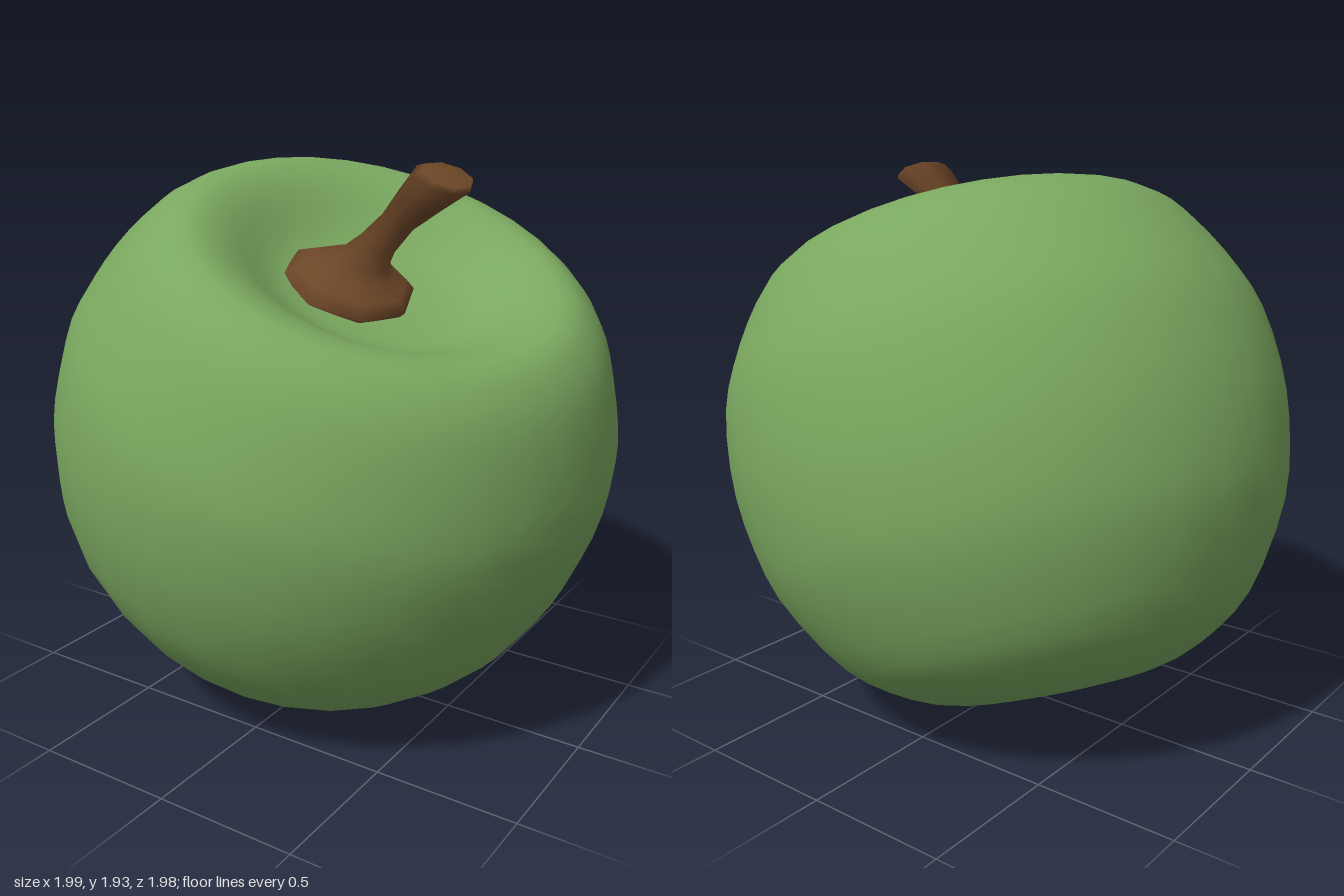
import * as THREE from 'three';

const vec = (list) => list.map(([r, y]) => new THREE.Vector2(r, y));

export function createModel() {
  const model = new THREE.Group();
  model.name = 'apple';

  // Everything is modelled around an upright core axis, then leaned over
  const axis = new THREE.Vector3(0.377, 0.91, 0.173).normalize();
  const leaning = new THREE.Group();
  leaning.name = 'leaningFruit';
  leaning.position.y = 0.965;
  leaning.quaternion.setFromUnitVectors(new THREE.Vector3(0, 1, 0), axis);
  model.add(leaning);

  // Fruit: flat-bottomed profile with a dimple on top
  const profile = new THREE.SplineCurve(vec([
    [0, -0.88], [0.22, -0.885], [0.42, -0.86], [0.6, -0.775], [0.74, -0.655],
    [0.89, -0.42], [0.955, -0.22], [0.985, 0], [0.97, 0.24], [0.915, 0.41],
    [0.825, 0.585], [0.74, 0.69], [0.63, 0.75], [0.51, 0.72], [0.4, 0.65],
    [0.3, 0.6], [0.15, 0.575], [0, 0.57],
  ])).getPoints(40);
  profile.forEach((p) => { p.x = Math.max(p.x, 0); });
  profile[0].x = profile[40].x = 0;
  const fruit = new THREE.Mesh(
    new THREE.LatheGeometry(profile, 32),
    new THREE.MeshStandardMaterial({ color: 0x7aa75f }),
  );
  fruit.name = 'fruit';
  leaning.add(fruit);

  // Stem: eight-sided, flared at both ends, sheared sideways as it rises
  const stemGeometry = new THREE.LatheGeometry(vec([
    [0, 0.55], [0.21, 0.56], [0.23, 0.595], [0.19, 0.625], [0.13, 0.65],
    [0.09, 0.69], [0.067, 0.76], [0.06, 0.85], [0.08, 0.94],
    [0.1, 1.03], [0.085, 1.045], [0, 1.05],
  ]), 8);
  const pos = stemGeometry.attributes.position;
  for (let i = 0; i < pos.count; i++) {
    const s = Math.max(0, (pos.getY(i) - 0.58) / 0.46) ** 1.3;
    pos.setX(i, pos.getX(i) - 0.097 + 0.18 * s);
    pos.setZ(i, pos.getZ(i) + 0.01 - 0.108 * s);
  }
  const stem = new THREE.Mesh(
    stemGeometry,
    new THREE.MeshStandardMaterial({ color: 0x6b4526 }),
  );
  stem.name = 'stem';
  leaning.add(stem);

  return model;
}
